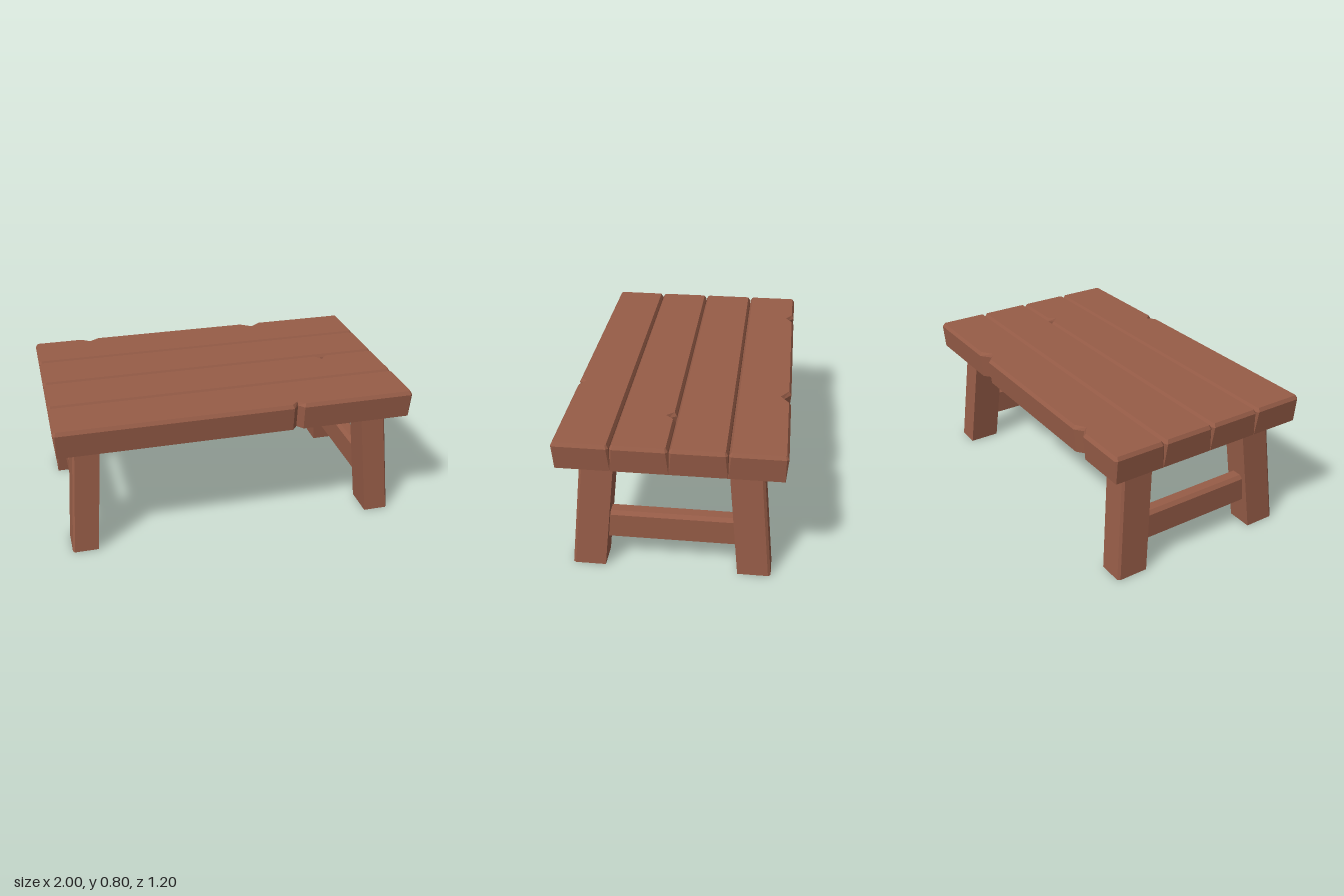
import * as THREE from 'three';

// Solid through rings of [x, z] points, one ring per height, with flat caps and hard edges
function loft(rings, heights) {
  const n = rings[0].length, last = (rings.length - 1) * n;
  const pos = [], index = [];
  rings.forEach((ring, k) => ring.forEach(([x, z]) => pos.push(x, heights[k], z)));
  for (let k = 0; k < last; k += n) {
    for (let i = 0; i < n; i++) {
      const j = (i + 1) % n;
      index.push(k + i, k + j, k + n + j, k + i, k + n + j, k + n + i);
    }
  }
  const flat = rings[1 % rings.length].map(([x, z]) => new THREE.Vector2(x, -z));
  for (const [a, b, c] of THREE.ShapeUtils.triangulateShape(flat, [])) {
    index.push(c, b, a, last + a, last + b, last + c);
  }
  const geo = new THREE.BufferGeometry();
  geo.setAttribute('position', new THREE.Float32BufferAttribute(pos, 3));
  geo.setIndex(index);
  const hard = geo.toNonIndexed();
  hard.computeVertexNormals();
  return hard;
}

// Plank outline: chamfered corners and V-shaped chips along the long edges
function plankRing(x, zBack, zFront, c, chips, widen) {
  const edge = (side, z, dir) => chips
    .filter((p) => p.side === side)
    .sort((a, b) => (a.x - b.x) * dir)
    .flatMap((p) => [
      [p.x - dir * (p.w + widen), z],
      [p.x, z - dir * p.d],
      [p.x + dir * (p.w + widen), z],
    ]);
  return [
    [-x + c, zFront], ...edge('front', zFront, 1), [x - c, zFront],
    [x, zFront - c], [x, zBack + c],
    [x - c, zBack], ...edge('back', zBack, -1), [-x + c, zBack],
    [-x, zBack + c], [-x, zFront - c],
  ];
}

export function createModel() {
  const group = new THREE.Group();
  const wood = new THREE.MeshStandardMaterial({ color: 0x965c47 });
  wood.name = 'brown wood';
  const add = (name, geo) => {
    const mesh = new THREE.Mesh(geo, wood);
    mesh.name = name;
    group.add(mesh);
  };

  // Table top: four planks from back to front, some chipped
  const chips = [
    [{ side: 'back', x: -0.662, w: 0.046, d: 0.036 }, { side: 'back', x: 0.39, w: 0.056, d: 0.046 }],
    [],
    [{ side: 'back', x: 0.66, w: 0.028, d: 0.04 }],
    [{ side: 'front', x: 0.335, w: 0.03, d: 0.036 }],
  ];
  chips.forEach((list, i) => {
    const z0 = -0.6 + i * 0.3, z1 = z0 + 0.3;
    const back = i === 0 ? 0.013 : 0, front = i === 3 ? 0.013 : 0;
    add('plank' + (i + 1), loft([
      plankRing(0.988, z0 + back, z1 - front, 0.001, list, 0),
      plankRing(1, z0 + 0.002, z1 - 0.002, 0.012, list, 0),
      plankRing(0.988, z0 + 0.014, z1 - 0.014, 0.006, list, 0.008),
    ], [0.645, 0.78, 0.8]));
  });

  // Splayed legs with the outer corner shaved off, and a stretcher on each side
  for (const sx of [-1, 1]) {
    const side = sx > 0 ? 'Left' : 'Right';
    for (const sz of [-1, 1]) {
      const legRing = (x, z) => {
        const ring = [
          [x - 0.145, z], [x - 0.01, z], [x, z - 0.014],
          [x, z - 0.18], [x - 0.145, z - 0.18],
        ].map(([a, b]) => [a * sx, b * sz]);
        return sx * sz > 0 ? ring : ring.reverse();
      };
      add((sz > 0 ? 'front' : 'back') + side + 'Leg',
        loft([legRing(0.946, 0.54), legRing(0.895, 0.48)], [0, 0.648]));
    }
    const bar = (w, l) => [[-w, l], [w, l], [w, -l], [-w, -l]].map(([a, b]) => [a + sx * 0.85, b]);
    add('stretcher' + side,
      loft([bar(0.045, 0.38), bar(0.045, 0.38), bar(0.027, 0.38)], [0.16, 0.3, 0.32]));
  }
  return group;
}
